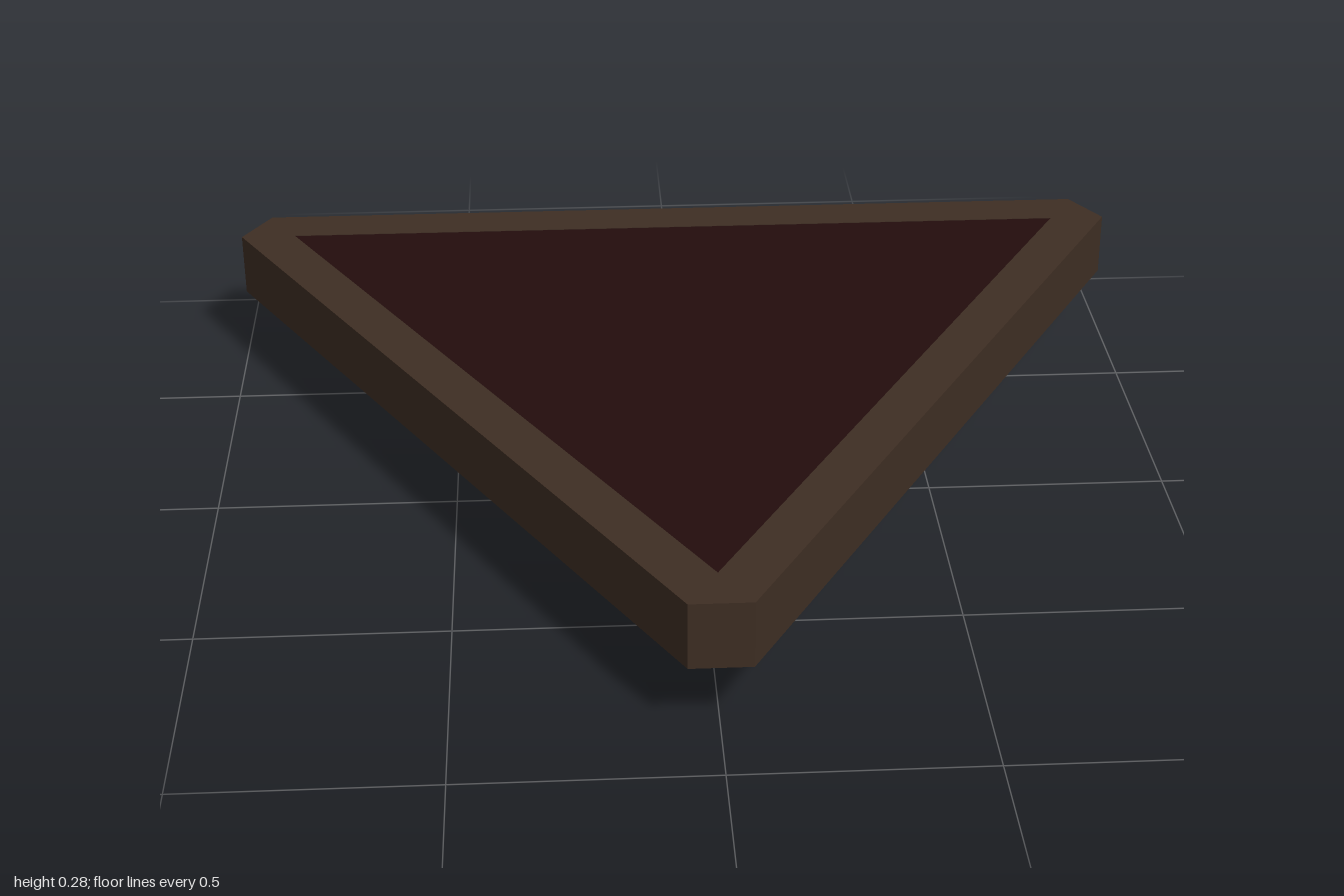
import * as THREE from 'three';

const CENTRE_Z = -0.254;

// Equilateral triangle with its tip towards +z, from its inner radius
function triangle(r) {
  const half = r * Math.sqrt(3);
  return [[0, CENTRE_Z + 2 * r], [-half, CENTRE_Z - r], [half, CENTRE_Z - r]];
}

// Cuts every corner of a polygon, a distance d along its edges
function cutCorners(points, d) {
  return points.flatMap((p, i) => {
    const ends = [points[(i + 2) % 3], points[(i + 1) % 3]];
    return ends.map((q) => {
      const t = d / Math.hypot(q[0] - p[0], q[1] - p[1]);
      return [p[0] + (q[0] - p[0]) * t, p[1] + (q[1] - p[1]) * t];
    });
  });
}

const toVectors = (points) => points.map(([x, z]) => new THREE.Vector2(x, z));

// Upright prism between two heights, with an optional hole
function prism(name, material, outline, hole, bottom, top) {
  const shape = new THREE.Shape(toVectors(outline));
  if (hole) shape.holes.push(new THREE.Path(toVectors(hole)));
  const geometry = new THREE.ExtrudeGeometry(shape, { depth: top - bottom, bevelEnabled: false });
  geometry.rotateX(Math.PI / 2).translate(0, top, 0);
  const mesh = new THREE.Mesh(geometry, material);
  mesh.name = name;
  return mesh;
}

export function createModel() {
  const wood = new THREE.MeshStandardMaterial({ color: 0x3e2e23 });
  wood.name = 'dark brown wood';
  const felt = new THREE.MeshStandardMaterial({ color: 0x230d0d });
  felt.name = 'dark red panel';

  const group = new THREE.Group();
  group.name = 'triangularTable';

  // Upper frame with blunt corners, and the panel filling it
  const rim = cutCorners(triangle(0.611), 0.122);
  group.add(prism('upperFrame', wood, rim, triangle(0.506), 0.138, 0.276));
  group.add(prism('panel', felt, triangle(0.506), null, 0.139, 0.275));

  // Smaller open frame it stands on
  group.add(prism('baseFrame', wood, triangle(0.399), triangle(0.316), 0, 0.139));

  return group;
}
